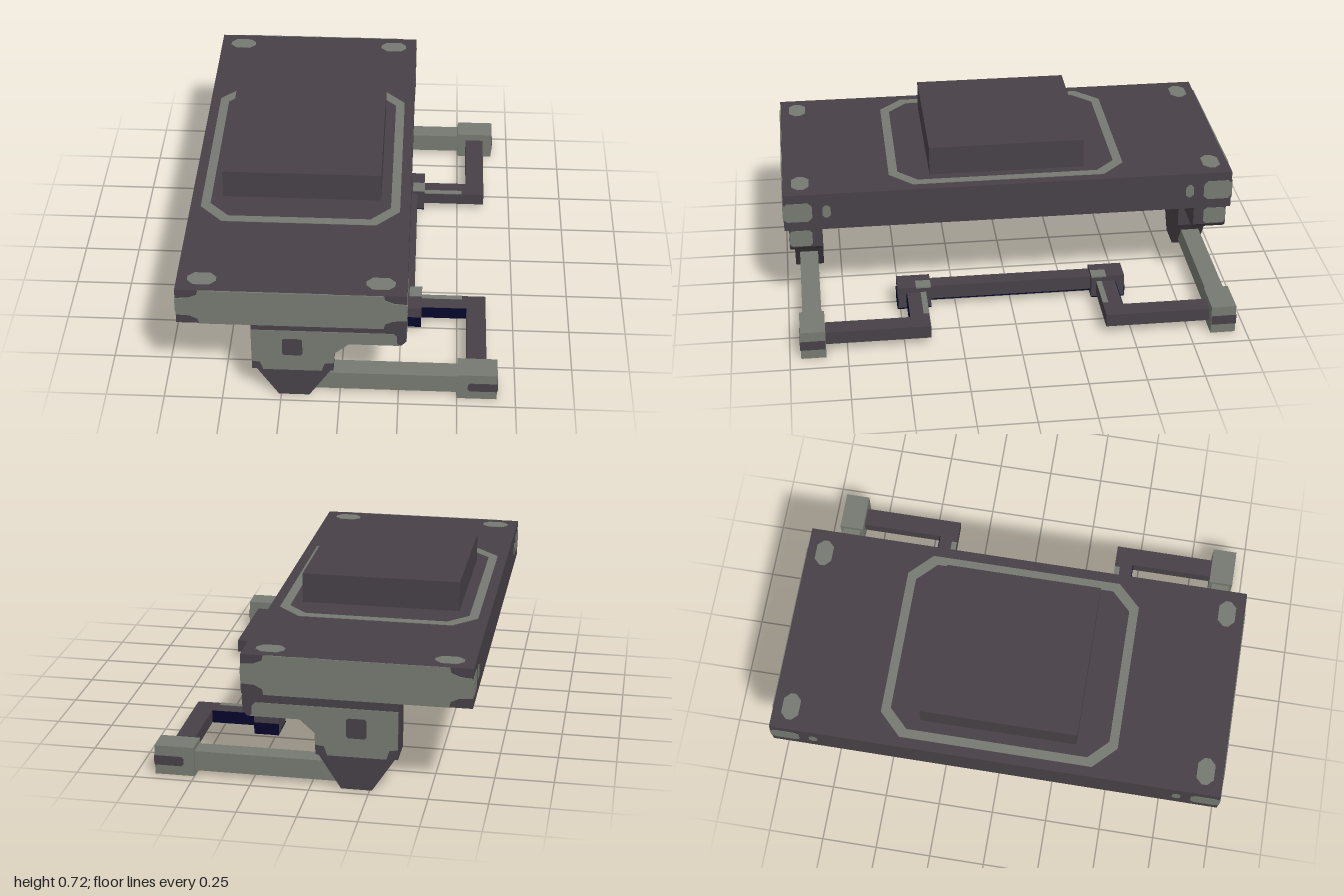
import * as THREE from 'three';

const mat = (name, color) => {
  const m = new THREE.MeshStandardMaterial({ color });
  m.name = name;
  return m;
};

export function createModel() {
  const dark = mat('dark plum grey', 0x474147);
  const green = mat('grey green', 0x767a71);
  const navy = mat('navy black', 0x05052c);
  const root = new THREE.Group();
  const T = 0.006; // painted plate thickness

  const add = (name, geo, material) => {
    const m = new THREE.Mesh(geo, material);
    m.name = name;
    root.add(m);
    return m;
  };
  const box = (name, x0, x1, y0, y1, z0, z1, material) => {
    const g = new THREE.BoxGeometry(x1 - x0, y1 - y0, Math.abs(z1 - z0));
    g.translate((x0 + x1) / 2, (y0 + y1) / 2, (z0 + z1) / 2);
    return add(name, g, material);
  };
  const shapeOf = (pts) => new THREE.Shape(pts.map(([x, y]) => new THREE.Vector2(x, y)));
  // Prism along z, or turned to lie along y (shape is x,-z) or x (shape is -z,y)
  const prism = (name, shape, a, b, material, axis = 'z') => {
    const g = new THREE.ExtrudeGeometry(shape, { depth: Math.abs(b - a), bevelEnabled: false });
    g.translate(0, 0, Math.min(a, b));
    if (axis === 'y') g.rotateX(-Math.PI / 2);
    if (axis === 'x') g.rotateY(Math.PI / 2);
    return add(name, g, material);
  };
  const plate = (name, shape, at, material, axis) =>
    prism(name, shape, at - T / 2, at + T / 2, material, axis);
  // Rectangle with cut corners
  const cutRect = (a0, a1, b0, b1, c) => [
    [a0 + c, b0], [a1 - c, b0], [a1, b0 + c], [a1, b1 - c],
    [a1 - c, b1], [a0 + c, b1], [a0, b1 - c], [a0, b0 + c],
  ];

  // Deck and the block passing through it
  box('deck', -0.675, 0.28, 0.415, 0.588, -0.996, 0.996, dark);
  box('centreBlock', -0.54, 0.15, 0.375, 0.72, -0.345, 0.345, dark);

  // Octagonal ring painted around the block
  const ring = shapeOf(cutRect(-0.63, 0.235, -0.525, 0.525, 0.1));
  ring.holes.push(shapeOf(cutRect(-0.59, 0.195, -0.485, 0.485, 0.085)));
  plate('deckRing', ring, 0.587, green, 'y');

  const endPanel = [
    [-0.675, 0.46], [-0.62, 0.457], [-0.585, 0.44], [-0.58, 0.415],
    [0.185, 0.415], [0.19, 0.44], [0.225, 0.457], [0.28, 0.46],
    [0.28, 0.545], [0.225, 0.55], [0.19, 0.565], [0.185, 0.588],
    [-0.58, 0.588], [-0.585, 0.565], [-0.62, 0.55], [-0.675, 0.545],
  ];
  const bracketShape = [
    [-0.37, 0.155], [-0.025, 0.155], [-0.025, 0.25], [0.04, 0.308],
    [0.26, 0.308], [0.28, 0.33], [0.28, 0.415], [-0.37, 0.415],
  ];
  const bracketPanel = [
    [-0.37, 0.2], [-0.335, 0.195], [-0.322, 0.155], [-0.075, 0.155],
    [-0.062, 0.195], [-0.025, 0.2], [-0.025, 0.25], [0.04, 0.308],
    [0.25, 0.308], [0.24, 0.32], [0.24, 0.355], [0.225, 0.37], [-0.37, 0.37],
  ];
  const footShape = [[-0.26, 0], [-0.13, 0], [-0.03, 0.155], [-0.36, 0.155]];

  for (const s of [1, -1]) {
    // Painted deck end, corner spots and side marks
    plate('deckEndPanel', shapeOf(endPanel), s * 0.997, green);
    for (const x of [-0.57, 0.17])
      plate('deckSpot', shapeOf(cutRect(x - 0.06, x + 0.06, -s * 0.918 - 0.038, -s * 0.918 + 0.038, 0.026)), 0.587, green, 'y');
    for (const x of [-0.674, 0.279]) {
      plate('deckCornerPatch', shapeOf(cutRect(-s * 0.935 - 0.064, -s * 0.935 + 0.064, 0.457, 0.547, 0.018)), x, green, 'x');
      plate('deckSideDot', shapeOf(cutRect(-s * 0.808 - 0.018, -s * 0.808 + 0.018, 0.472, 0.532, 0.012)), x, green, 'x');
    }

    // Hanging bracket with painted outer face
    prism('bracket', shapeOf(bracketShape), s * 0.83, s * 0.976, dark);
    plate('bracketPanel', shapeOf(bracketPanel), s * 0.976, green);
    plate('bracketSquare', shapeOf(cutRect(-0.24, -0.155, 0.24, 0.327, 0.008)), s * 0.979, dark);
    plate('bracketEndPatch', shapeOf(cutRect(-s * 0.925 - 0.05, -s * 0.925 + 0.05, 0.335, 0.412, 0.012)), 0.279, green, 'x');
    plate('bracketLegPatch', shapeOf(cutRect(-s * 0.925 - 0.05, -s * 0.925 + 0.05, 0.2, 0.25, 0.004)), -0.026, green, 'x');

    // Tapered foot
    prism('foot', shapeOf(footShape), s * 0.83, s * 0.96, dark);

    // Arm with end block and its wrapped dark slot
    box('arm', -0.13, 0.5, 0.022, 0.11, s * 0.855, s * 0.938, green);
    box('armEnd', 0.5, 0.67, 0, 0.13, s * 0.843, s * 0.952, green);
    plate('armEndSlot', shapeOf([[0.545, 0.052], [0.555, 0.043], [0.67, 0.043], [0.67, 0.085], [0.555, 0.085], [0.545, 0.076]]), s * 0.952, dark);
    box('armEndBand', 0.667, 0.673, 0.043, 0.085, s * 0.845, s * 0.953, dark);

    // Cranked bar leading to the joint
    box('crankBar', 0.54, 0.625, 0.038, 0.096, s * 0.385, s * 0.845, dark);
    box('crankReturn', 0.33, 0.545, 0.038, 0.096, s * 0.385, s * 0.47, dark);
    box('crankStripe', 0.335, 0.52, 0.093, 0.098, s * 0.385, s * 0.41, green);
    box('crankFace', 0.34, 0.54, 0.038, 0.094, s * 0.468, s * 0.473, navy);

    // Joint block with green top corner and dark underside
    box('joint', 0.23, 0.34, 0.02, 0.122, s * 0.363, s * 0.512, dark);
    box('jointTop', 0.285, 0.341, 0.118, 0.125, s * 0.363, s * 0.43, green);
    box('jointBase', 0.23, 0.34, 0.015, 0.021, s * 0.363, s * 0.512, navy);
    box('jointFace', 0.23, 0.34, 0.018, 0.07, s * 0.51, s * 0.515, navy);
  }

  // Bar linking the two joints
  box('linkBar', 0.235, 0.307, 0.04, 0.105, -0.37, 0.37, dark);
  box('linkBarBase', 0.235, 0.307, 0.034, 0.041, -0.365, 0.365, navy);

  return root;
}
